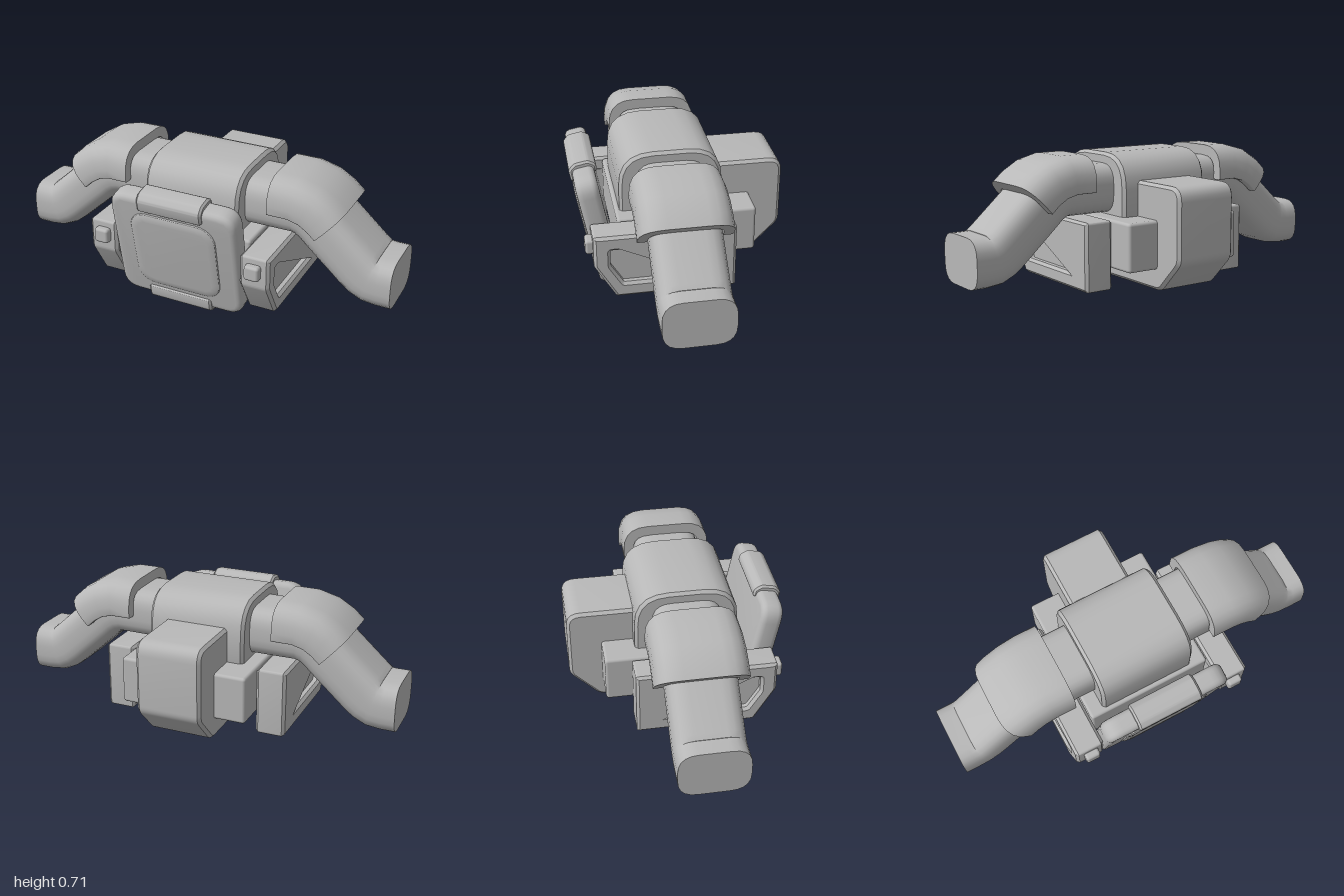
import * as THREE from 'three';
import { toCreasedNormals } from 'three/addons/utils/BufferGeometryUtils.js';
import { RoundedBoxGeometry } from 'three/addons/geometries/RoundedBoxGeometry.js';

// Closed outline with rounded corners; corners are [x, y, radius]
function roundedPath(corners, defaultRadius, PathType = THREE.Shape) {
  const path = new PathType();
  const n = corners.length;
  corners.forEach((c, i) => {
    const p = new THREE.Vector2(c[0], c[1]);
    const r = c[2] ?? defaultRadius;
    const toward = (q) => new THREE.Vector2(q[0], q[1]).sub(p).normalize().multiplyScalar(r).add(p);
    const a = toward(corners[(i + n - 1) % n]);
    const b = toward(corners[(i + 1) % n]);
    if (i === 0) path.moveTo(a.x, a.y); else path.lineTo(a.x, a.y);
    path.quadraticCurveTo(p.x, p.y, b.x, b.y);
  });
  path.closePath();
  return path;
}

const flipZ = (pts) => pts.map(([z, y, r]) => [-z, y, r]);

// Side profile of [z, y, radius] corners, extruded across x with bevelled edges
function extrudeAcross(profile, x0, x1, bevel, radius = 0.015, hole = null) {
  const shape = roundedPath(flipZ(profile), radius);
  if (hole) shape.holes.push(roundedPath(flipZ(hole), 0.008, THREE.Path));
  const geo = new THREE.ExtrudeGeometry(shape, {
    depth: x1 - x0 - 2 * bevel, curveSegments: 5, bevelEnabled: true,
    bevelSize: bevel, bevelThickness: bevel, bevelOffset: -bevel, bevelSegments: 1,
  });
  geo.translate(0, 0, x0 + bevel).rotateY(Math.PI / 2);
  return toCreasedNormals(geo, 0.5);
}

// Sweep a section (side, normal) along an xy path, with capped ends
function sweep(path, section) {
  const pos = [], idx = [];
  const n = section.length;
  path.forEach((p, i) => {
    const a = path[Math.max(i - 1, 0)], b = path[Math.min(i + 1, path.length - 1)];
    const t = new THREE.Vector2(b[0] - a[0], b[1] - a[1]).normalize();
    section.forEach((s) => pos.push(p[0] - t.y * s.y, p[1] + t.x * s.y, -s.x));
  });
  for (let i = 0; i < path.length - 1; i++) {
    for (let j = 0; j < n; j++) {
      const a = i * n + j, b = i * n + (j + 1) % n;
      idx.push(a, b, b + n, a, b + n, a + n);
    }
  }
  const last = (path.length - 1) * n;
  THREE.ShapeUtils.triangulateShape(section, []).forEach(([a, b, c]) => {
    idx.push(a, c, b, last + a, last + b, last + c);
  });
  const geo = new THREE.BufferGeometry();
  geo.setAttribute('position', new THREE.Float32BufferAttribute(pos, 3));
  geo.setIndex(idx);
  return toCreasedNormals(geo.toNonIndexed(), 0.6);
}

function sectionPoints(corners, radius) {
  const pts = roundedPath(corners, radius).getPoints(5);
  if (pts[0].distanceTo(pts[pts.length - 1]) < 1e-6) pts.pop();
  return pts;
}

const mirrorPath = (path) => path.map(([x, y]) => [-x, y]).reverse();

export function createModel() {
  const model = new THREE.Group();
  const grey = new THREE.MeshStandardMaterial({ color: 0xb8b8b8 });
  grey.name = 'plain grey';
  const add = (name, geo, x = 0, y = 0, z = 0, parent = model) => {
    const mesh = new THREE.Mesh(geo, grey);
    mesh.name = name;
    mesh.position.set(x, y, z);
    parent.add(mesh);
    return mesh;
  };
  const box = (w, h, d, r) => new RoundedBoxGeometry(w, h, d, 2, r);

  // Bent arm running through the whole body
  const bend = [[0.49, 0.53], [0.545, 0.515], [0.59, 0.487], [0.63, 0.45]];
  const half = [[0.385, 0.53], ...bend, [0.81, 0.288], [0.845, 0.26], [0.88, 0.242], [0.93, 0.237], [0.985, 0.237], [1, 0.237]];
  const armSection = sectionPoints([[-0.17, -0.122], [0.17, -0.122], [0.17, 0.122], [-0.17, 0.122]], 0.095);
  add('arms', sweep([...mirrorPath(half), ...half], armSection), 0, 0, 0.05);

  // Shoulder guards: an arch swept over each arm's upper bend
  const guardPath = [[0.385, 0.53], ...bend];
  const arch = sectionPoints([
    [0.225, 0, 0.01], [0.225, 0.175, 0.13], [-0.225, 0.175, 0.13], [-0.225, 0, 0.01],
    [-0.175, 0, 0.01], [-0.175, 0.12, 0.08], [0.175, 0.12, 0.08], [0.175, 0, 0.01],
  ], 0.01);
  add('leftShoulderGuard', sweep(guardPath, arch), 0, 0, 0.05);
  add('rightShoulderGuard', sweep(mirrorPath(guardPath), arch), 0, 0, 0.05);

  // Chest yoke, cross block and backpack
  add('chestYoke', extrudeAcross(
    [[0.305, 0.37, 0.02], [-0.205, 0.37, 0.02], [-0.205, 0.705, 0.17], [0.305, 0.705, 0.17]],
    -0.255, 0.25, 0.015));
  add('crossBlock', box(0.66, 0.24, 0.69, 0.015), 0, 0.28, -0.018);
  add('backpack', extrudeAcross(
    [[0.14, 0.055], [-0.38, 0.055, 0.03], [-0.53, 0.21, 0.03], [-0.53, 0.575, 0.07], [0.14, 0.575]],
    -0.17, 0.165, 0.015));

  // Side pods with a recessed outer face and a front button
  const podOutline = [[0.46, 0.24], [0.355, 0.06], [-0.232, 0.06], [-0.232, 0.4], [0.46, 0.4]];
  const recess = [[0.38, 0.24], [0.318, 0.138], [-0.158, 0.138], [-0.158, 0.322], [0.38, 0.322]];
  const floor = [[0.41, 0.24], [0.33, 0.1], [-0.19, 0.1], [-0.19, 0.36], [0.41, 0.36]];
  for (const side of [1, -1]) {
    const label = side > 0 ? 'left' : 'right';
    const span = (a, b) => (side > 0 ? [a, b] : [-b, -a]);
    add(label + 'PodFrame', extrudeAcross(podOutline, ...span(0.335, 0.487), 0.014, 0.012, recess));
    add(label + 'PodFloor', extrudeAcross(floor, ...span(0.345, 0.45), 0.005, 0.01));
    add(label + 'Button', box(0.076, 0.076, 0.06, 0.014), side * 0.408, 0.328, 0.465);
  }

  // Leaning front panel with a raised centre and two clips
  const panel = new THREE.Group();
  panel.name = 'frontPanel';
  panel.position.set(0, 0.322, 0.415);
  panel.rotation.x = 0.19;
  model.add(panel);
  const plate = roundedPath([[-0.335, -0.3], [0.335, -0.3], [0.335, 0.3], [-0.335, 0.3]], 0.09);
  const plateGeo = new THREE.ExtrudeGeometry(plate, {
    depth: 0.05, curveSegments: 6, bevelEnabled: true,
    bevelSize: 0.03, bevelThickness: 0.03, bevelOffset: -0.03, bevelSegments: 4,
  });
  add('panelPlate', toCreasedNormals(plateGeo.translate(0, 0, -0.025), 0.5), 0, 0, 0, panel);

  const pillow = roundedPath([[-0.19, -0.18], [0.19, -0.18], [0.19, 0.18], [-0.19, 0.18]], 0.06);
  const pillowGeo = new THREE.ExtrudeGeometry(pillow, {
    depth: 0.02, curveSegments: 6, bevelEnabled: true,
    bevelSize: 0.04, bevelThickness: 0.016, bevelSegments: 3,
  });
  add('panelCentre', toCreasedNormals(pillowGeo.translate(0, 0, 0.032), 0.5), 0, 0, 0, panel);

  const clip = [
    [0.068, 0.235, 0.01], [-0.068, 0.26, 0.01], [-0.068, 0.298, 0.012],
    [-0.035, 0.325, 0.012], [0.035, 0.325, 0.012], [0.068, 0.298, 0.012],
  ];
  add('topClip', extrudeAcross(clip, -0.175, 0.17, 0.01), 0, 0, 0, panel);
  const lower = clip.map(([z, y, r]) => [z, -y, r]).reverse();
  add('bottomClip', extrudeAcross(lower, -0.175, 0.17, 0.01), 0, 0, 0, panel);

  return model;
}
